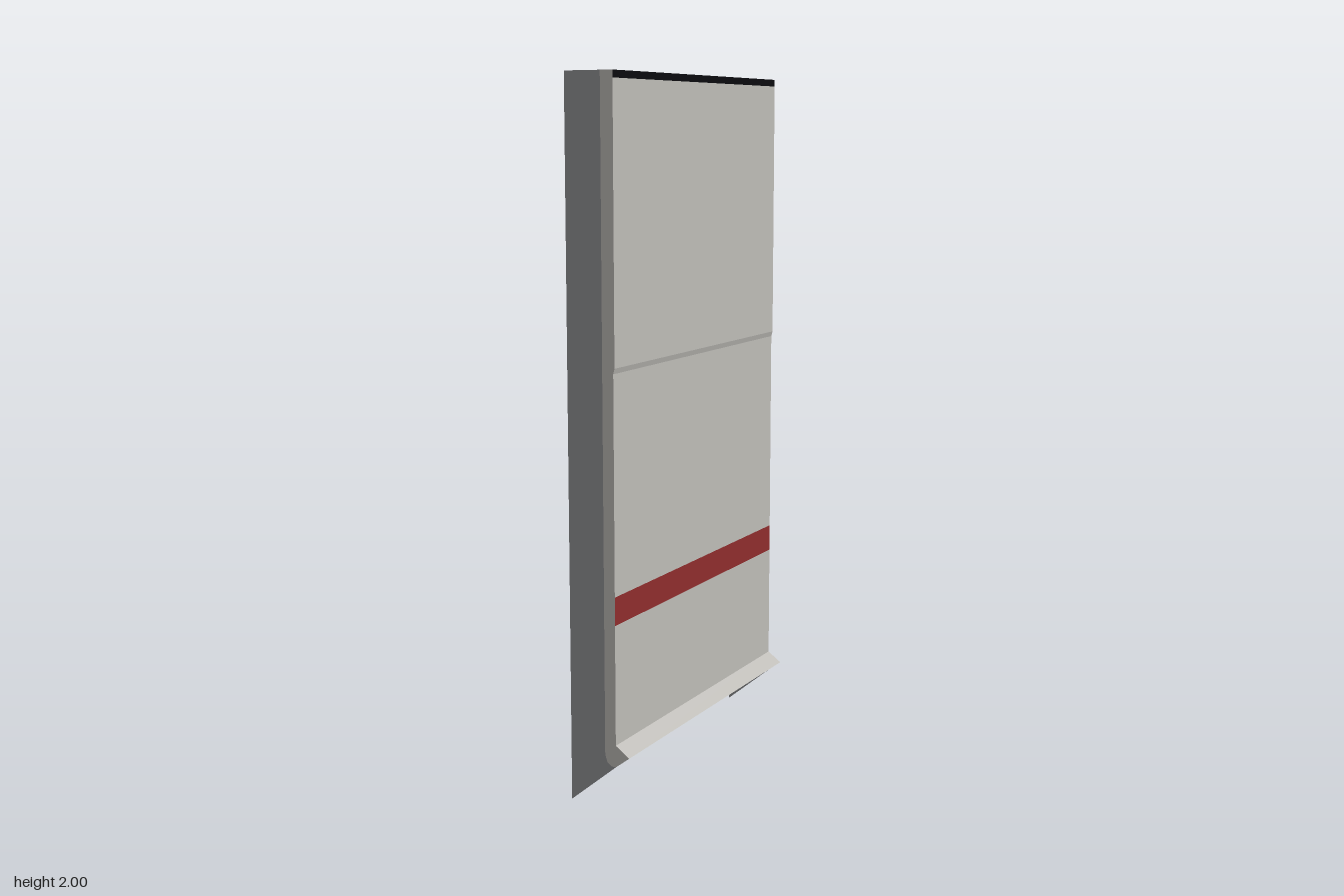
import * as THREE from 'three';

const mat = (name, color) => {
  const m = new THREE.MeshStandardMaterial({ color, side: THREE.DoubleSide });
  m.name = name;
  return m;
};

export function createModel() {
  const group = new THREE.Group();
  const panelGrey = mat('panelGrey', 0xbfbdb8);
  const flangeGrey = mat('flangeGrey', 0x939497);
  const stripeRed = mat('stripeRed', 0x8f2d2d);
  const trimBlack = mat('trimBlack', 0x0b0b0e);
  const halfWidth = 0.49;

  // Sheet spanning the full width between two [x, y] points of the panel profile
  const sheet = (name, [x0, y0], [x1, y1], material) => {
    const geo = new THREE.PlaneGeometry(1, 1);
    const p = geo.attributes.position;
    for (let i = 0; i < p.count; i++) {
      const z = -p.getX(i) * 2 * halfWidth;
      const t = p.getY(i) + 0.5;
      p.setXYZ(i, x0 + (x1 - x0) * t, y0 + (y1 - y0) * t, z);
    }
    geo.computeVertexNormals();
    const mesh = new THREE.Mesh(geo, material);
    mesh.name = name;
    group.add(mesh);
  };

  // Panel from bottom lip to top trim
  sheet('bottomLip', [0.092, 0.15], [0.05, 0.18], panelGrey);
  sheet('lowerPanel', [0.05, 0.18], [0.05, 0.52], panelGrey);
  sheet('redStripe', [0.05, 0.52], [0.05, 0.6], stripeRed);
  sheet('middlePanel', [0.05, 0.6], [0.05, 1.21], panelGrey);
  sheet('panelStep', [0.05, 1.21], [0.054, 1.225], panelGrey);
  sheet('upperPanel', [0.054, 1.225], [0.054, 1.98], panelGrey);
  sheet('topTrim', [0.054, 1.98], [0.054, 2], trimBlack);

  // Side flanges: dark plate plus a light border next to the panel
  const plate = (name, points, z, material) => {
    const shape = new THREE.Shape(points.map(([x, y]) => new THREE.Vector2(x, y)));
    const mesh = new THREE.Mesh(new THREE.ShapeGeometry(shape), material);
    // Turn the rear plate around so that it faces outward
    if (z < 0) {
      mesh.geometry.scale(-1, 1, 1);
      mesh.rotation.y = Math.PI;
    }
    mesh.position.z = z;
    mesh.name = name;
    group.add(mesh);
  };
  const seam = [[0.016, 2], [0.016, 0.15], [0.023, 0.127], [0.037, 0.118], [0.05, 0.118]];
  const border = [...seam, [0.092, 0.15], [0.05, 0.18], [0.05, 1.21], [0.054, 1.225], [0.054, 2]];
  const flange = [[-0.093, 2], [-0.093, 0], [0.05, 0.118], ...seam.slice(0, -1).reverse()];
  for (const [side, z] of [['front', halfWidth], ['back', -halfWidth]]) {
    plate(side + 'Flange', flange, z, flangeGrey);
    plate(side + 'FlangeBorder', border, z, panelGrey);
  }
  return group;
}
